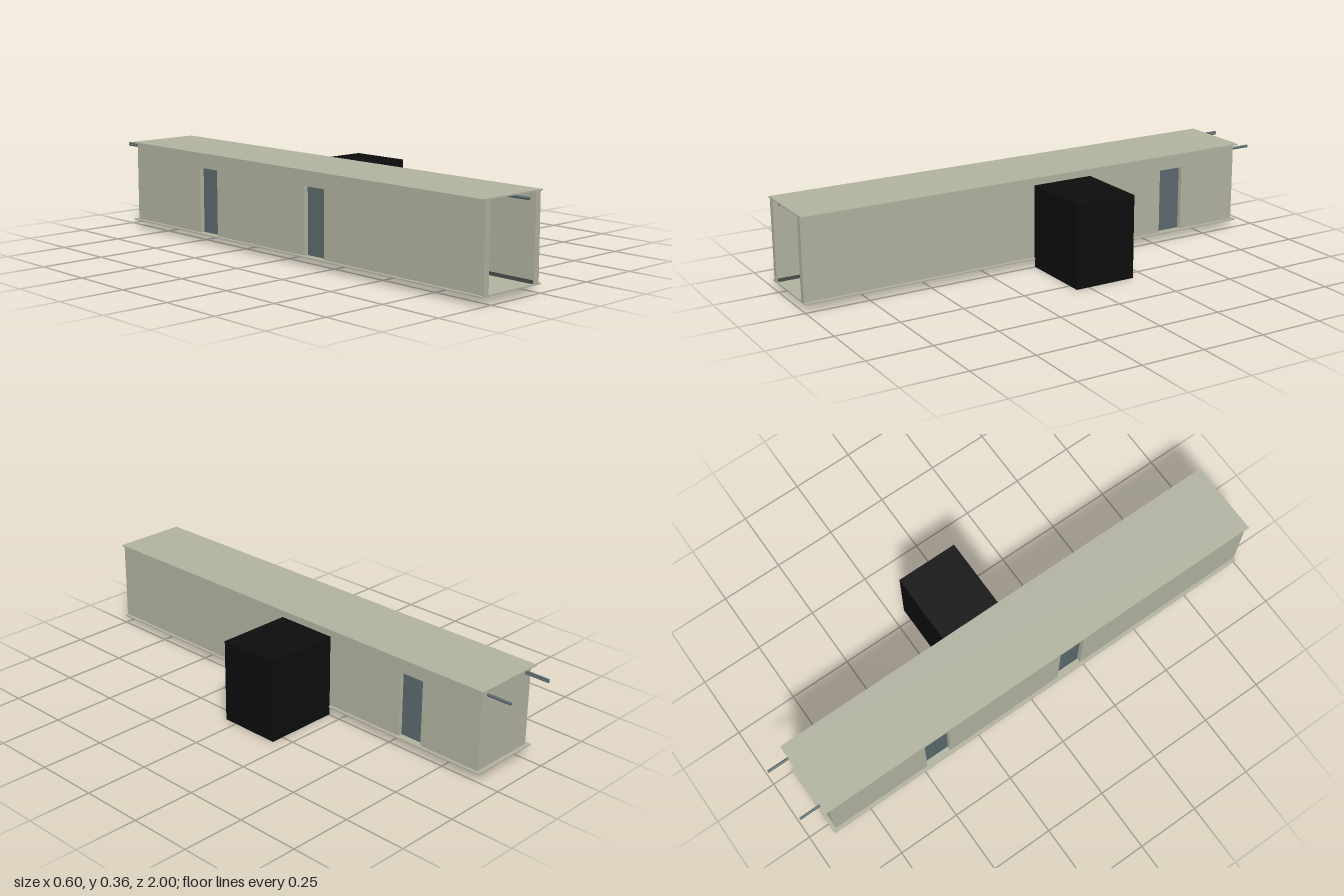
import * as THREE from 'three';

const flat = (name, color) => {
  const m = new THREE.MeshStandardMaterial({ color });
  m.name = name;
  return m;
};

export function createModel() {
  const wall = flat('wall paint', 0xb1b29f);
  const steel = flat('blue grey steel', 0x5a696c);
  const dark = flat('dark trim', 0x4a4d4a);
  const black = flat('black', 0x0d0d0d);
  const card = flat('cardboard', 0x94714e);
  const wood = flat('wood', 0x76512f);
  const yellow = flat('yellow plastic', 0xb89a1e);

  const model = new THREE.Group();
  model.name = 'corridor';

  const group = (name) => {
    const g = new THREE.Group();
    g.name = name;
    model.add(g);
    return g;
  };
  const add = (parent, name, geometry, material) => {
    const mesh = new THREE.Mesh(geometry, material);
    mesh.name = name;
    parent.add(mesh);
    return mesh;
  };
  // Box given by its limits on each axis
  const box = (parent, name, mat, x0, x1, y0, y1, z0, z1) => {
    const mesh = add(parent, name, new THREE.BoxGeometry(x1 - x0, y1 - y0, z1 - z0), mat);
    mesh.position.set((x0 + x1) / 2, (y0 + y1) / 2, (z0 + z1) / 2);
    return mesh;
  };
  // Round bar between two points
  const bar = (parent, name, mat, a, b, r) => {
    const p = new THREE.Vector3(...a), q = new THREE.Vector3(...b);
    const mesh = add(parent, name, new THREE.CylinderGeometry(r, r, p.distanceTo(q), 12), mat);
    mesh.position.copy(p).lerp(q, 0.5);
    mesh.quaternion.setFromUnitVectors(new THREE.Vector3(0, 1, 0), q.sub(p).normalize());
    return mesh;
  };

  const floorY = 0.036, ceilY = 0.351, doorY = 0.295;
  const back = -0.9, front = 1;
  const inL = -0.263, inR = -0.034, thick = 0.024;

  // Shell: floor, roof and end wall
  box(model, 'floor', wall, -0.3, 0.002, 0.031, floorY, -0.915, front);
  box(model, 'roof', wall, -0.3, 0.002, ceilY, 0.356, -0.915, front);
  box(model, 'endWall', wall, inL, inR, floorY, ceilY, back, back + thick);

  // Side wall with doorways cut up from the floor, doors set near the inner face
  const sideWall = (name, outerX, dir, doors) => {
    const g = group(name);
    const shape = new THREE.Shape();
    shape.moveTo(back, floorY);
    for (const [z0, z1] of doors) {
      shape.lineTo(z0, floorY);
      shape.lineTo(z0, doorY);
      shape.lineTo(z1, doorY);
      shape.lineTo(z1, floorY);
    }
    shape.lineTo(front, floorY);
    shape.lineTo(front, ceilY);
    shape.lineTo(back, ceilY);
    const geo = new THREE.ExtrudeGeometry(shape, { depth: thick, bevelEnabled: false });
    geo.rotateY(-Math.PI / 2);
    add(g, 'wallPanel', geo, wall).position.x = dir > 0 ? outerX + thick : outerX;

    const inner = outerX + dir * thick;
    const span = (label, mat, d0, d1, y0, y1, z0, z1) => {
      const a = inner + dir * d0, b = inner + dir * d1;
      box(g, label, mat, Math.min(a, b), Math.max(a, b), y0, y1, z0, z1);
    };
    let from = back + thick;
    for (const [z0, z1] of doors) {
      span('door', steel, -0.006, -0.001, floorY, doorY, z0, z1);
      span('doorFrameSide', dark, 0, 0.004, floorY, 0.297, z0 - 0.008, z0);
      span('doorFrameSide', dark, 0, 0.004, floorY, 0.297, z1, z1 + 0.008);
      span('doorFrameTop', dark, 0, 0.004, 0.289, 0.297, z0, z1);
      span('skirting', dark, 0, 0.003, floorY, 0.049, from, z0 - 0.008);
      from = z1 + 0.008;
    }
    span('skirting', dark, 0, 0.003, floorY, 0.049, from, front - 0.005);
  };
  sideWall('rightWall', -0.287, 1, [[-0.485, -0.378], [0.128, 0.235]]);
  sideWall('leftWall', -0.01, -1, [[-0.64, -0.535]]);

  // Door on the inner face of the end wall
  const e = back + thick;
  const end = group('endDoor');
  box(end, 'skirting', dark, inL, inR, floorY, 0.049, e, e + 0.003);
  box(end, 'frameSide', dark, -0.217, -0.209, floorY, 0.297, e, e + 0.008);
  box(end, 'frameSide', dark, -0.089, -0.081, floorY, 0.297, e, e + 0.008);
  box(end, 'frameTop', dark, -0.209, -0.089, 0.289, 0.297, e, e + 0.008);
  bar(end, 'handleLever', steel, [-0.115, 0.16, e + 0.01], [-0.1, 0.16, e + 0.01], 0.0015);
  bar(end, 'handleStem', steel, [-0.102, 0.16, e], [-0.102, 0.16, e + 0.011], 0.002);
  box(end, 'handlePlate', steel, -0.104, -0.1, 0.149, 0.166, e, e + 0.002);

  // Pipes under the ceiling, running out through the end wall
  const pipes = group('pipes');
  bar(pipes, 'largePipe', steel, [-0.043, 0.326, -1], [-0.043, 0.326, 0.98], 0.0055);
  for (const y of [0.332, 0.34])
    bar(pipes, 'smallPipe', steel, [-0.257, y, -1], [-0.257, y, 0.98], 0.0038);

  // Ceiling lamps with a tapered cover
  const lampShape = new THREE.Shape([[-0.014, 0], [-0.014, -0.008], [-0.01, -0.012],
    [0.01, -0.012], [0.014, -0.008], [0.014, 0]].map(p => new THREE.Vector2(...p)));
  const lampGeo = new THREE.ExtrudeGeometry(lampShape, { depth: 0.12, bevelEnabled: false });
  const lamps = group('ceilingLamps');
  for (let i = 0; i < 5; i++)
    add(lamps, 'lamp', lampGeo, wall).position.set(-0.148, ceilY, -0.72 + i * 0.36);

  // Big black block beside the corridor
  box(model, 'blackBlock', black, -0.003, 0.299, 0, 0.326, -0.197, 0.053);

  // Stacked cartons with a hand cart behind
  const cartons = group('cartons');
  box(cartons, 'lowerCarton', card, -0.103, -0.04, floorY, 0.086, -0.3, -0.23);
  box(cartons, 'upperCarton', card, -0.098, -0.042, 0.088, 0.131, -0.295, -0.235);
  const cart = group('handCart');
  for (const x of [-0.095, -0.045])
    bar(cart, 'post', dark, [x, floorY, -0.32], [x, 0.155, -0.32], 0.002);
  for (const y of [0.087, 0.146])
    bar(cart, 'crossBar', dark, [-0.095, y, -0.32], [-0.045, y, -0.32], 0.0025);

  // Cleaning corner: bucket, case, brooms and a wall box
  const corner = group('cleaningCorner');
  box(corner, 'yellowBucket', yellow, -0.253, -0.2, 0.042, 0.08, -0.2, -0.12);
  for (const x of [-0.245, -0.208]) for (const z of [-0.19, -0.13])
    bar(corner, 'caster', dark, [x - 0.003, 0.04, z], [x + 0.003, 0.04, z], 0.004);
  box(corner, 'wringer', dark, -0.222, -0.2, 0.08, 0.107, -0.2, -0.165);
  bar(corner, 'broomHandle', wood, [-0.253, 0.213, -0.23], [-0.218, 0.06, -0.23], 0.002);
  bar(corner, 'mopHandle', dark, [-0.257, 0.16, -0.26], [-0.24, 0.06, -0.26], 0.0035);
  box(corner, 'wallBox', card, inL, -0.242, 0.125, 0.182, -0.33, -0.28);

  // Notice board on the left wall
  box(model, 'noticeBoard', wood, -0.037, inR, 0.18, 0.23, 0.25, 0.35);

  return model;
}
